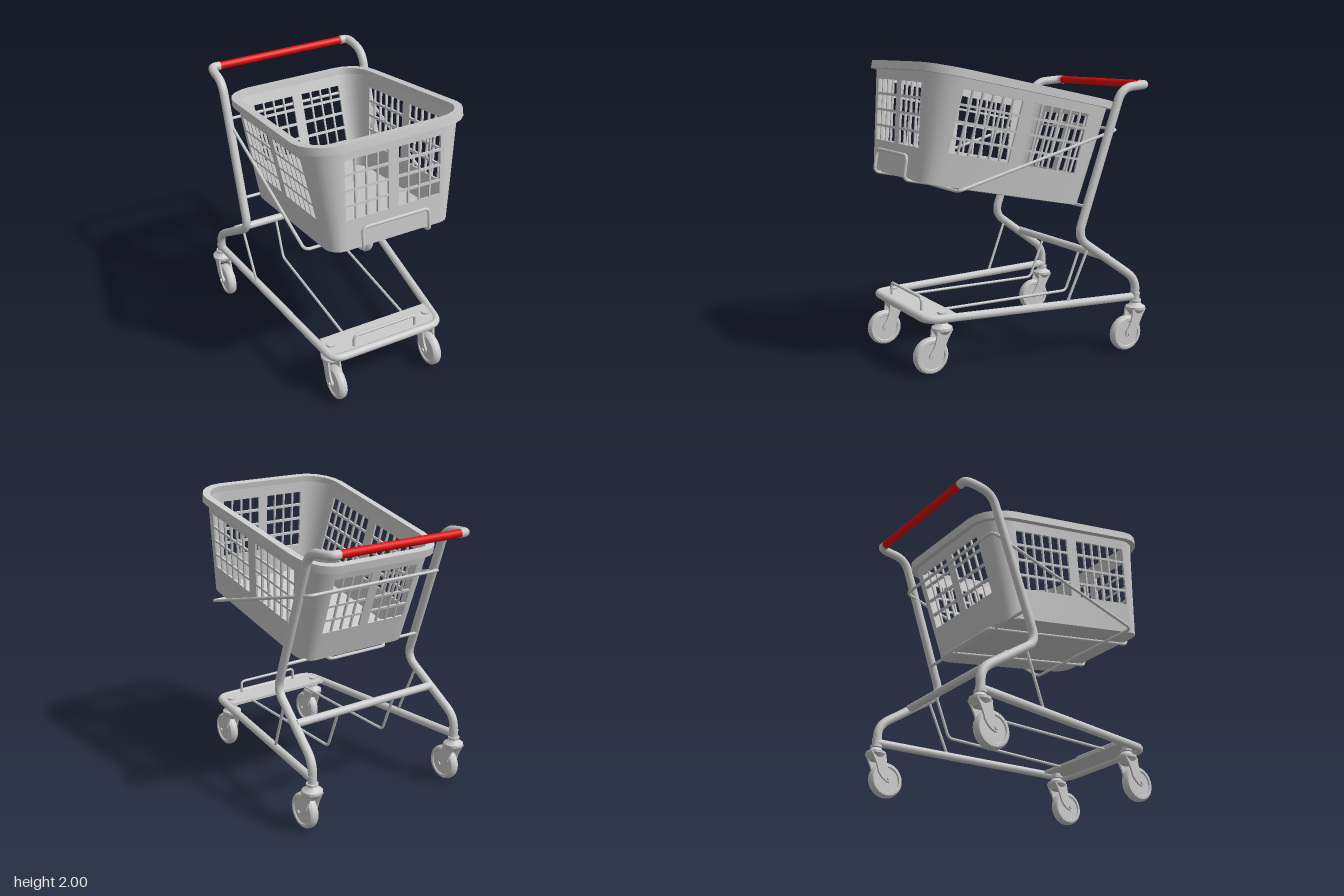
import * as THREE from 'three';
import { toCreasedNormals } from 'three/addons/utils/BufferGeometryUtils.js';

const grey = new THREE.MeshStandardMaterial({ color: 0xcccccc, side: THREE.DoubleSide });
const red = new THREE.MeshStandardMaterial({ color: 0xe00808 });
const V = (x, y, z) => new THREE.Vector3(x, y, z);

function part(parent, name, geometry, material = grey) {
  const mesh = new THREE.Mesh(geometry, material);
  mesh.name = name;
  parent.add(mesh);
  return mesh;
}

// Tube through corner points, each corner rounded by r
function bentTube(points, radius, r = 0.06, closed = false, segments = 100) {
  const path = new THREE.CurvePath(), n = points.length;
  const toward = (a, b) => a.clone().add(b.clone().sub(a).setLength(Math.min(r, a.distanceTo(b) * 0.45)));
  const first = closed ? toward(points[0], points[1]) : points[0];
  let at = first;
  for (let i = 1; i < (closed ? n + 1 : n - 1); i++) {
    const p = points[i % n];
    const a = toward(p, points[i - 1]), b = toward(p, points[(i + 1) % n]);
    path.add(new THREE.LineCurve3(at, a));
    path.add(new THREE.QuadraticBezierCurve3(a, p, b));
    at = b;
  }
  if (!closed) path.add(new THREE.LineCurve3(at, points[n - 1]));
  return new THREE.TubeGeometry(path, segments, radius, 10, closed);
}

// Edges of a run of slots: [position, whether a slot starts here]
function slots(groups, count, gap) {
  return groups.flatMap(([a, b]) => {
    const pitch = (b - a + gap) / count;
    return Array.from({ length: count }, (_, i) => [[a + i * pitch, true], [a + (i + 1) * pitch - gap, false]]).flat();
  });
}

// ---- Basket, in its own frame: x across, y up, z forward ----
const W = 0.335, BACK = -0.28, FRONT = 0.715, HEIGHT = 0.69;
const topHalfWidth = z => 0.5 + 0.035 * (z - BACK) / (FRONT - BACK);

function basketColumns() {
  const cols = [];
  const sideSlots = slots([[-0.27, 0.175], [0.26, 0.705]], 6, 0.013);
  const sideSlotsBack = slots([[-0.705, -0.26], [-0.175, 0.27]], 6, 0.013);
  const endSlots = slots([[-0.33, -0.035], [0.035, 0.33]], 4, 0.011);
  const side = (s, z, hole) => cols.push({ b: [s * 0.43, z], t: [s * topHalfWidth(z), z], n: [s, 0], hole });
  const end = (s, x, hole) => cols.push({
    b: [x, s > 0 ? 0.822 : -0.397], t: [x, s > 0 ? 0.913 : -0.493], n: [0, s], hole });
  const corner = q => {
    const sx = q === 0 || q === 3 ? 1 : -1, front = q < 2, z = front ? FRONT : BACK;
    const rb = [0.43 - W, front ? 0.107 : 0.117], rt = [topHalfWidth(z) - W, front ? 0.198 : 0.213];
    for (let k = 0; k <= 5; k++) {
      const a = (q + k / 5) * Math.PI / 2, c = Math.cos(a), s = Math.sin(a);
      cols.push({ b: [sx * W + rb[0] * c, z + rb[1] * s], t: [sx * W + rt[0] * c, z + rt[1] * s],
        n: [c, s], hole: false, corner: true });
    }
  };
  sideSlots.forEach(([p, h]) => side(1, p, h));
  corner(0);
  endSlots.forEach(([p, h]) => end(1, -p, h));
  corner(1);
  sideSlotsBack.forEach(([p, h]) => side(-1, -p, h));
  corner(2);
  endSlots.forEach(([p, h]) => end(-1, p, h));
  corner(3);
  return cols;
}

// Walls as inner and outer skins, with the slots left open and their reveals closed
function wallGeometry(cols) {
  const rows = [[0, false], ...slots([[0.21, 0.615]], 4, 0.016), [HEIGHT, false]];
  const pos = [];
  const pt = (c, u, inset) => {
    const t = u / HEIGHT;
    const at = k => c.b[k] + (c.t[k] - c.b[k]) * t - c.n[k] * inset;
    return [at(0), u, at(1)];
  };
  const quad = (a, b, c, d) => pos.push(...a, ...b, ...c, ...a, ...c, ...d);
  cols.forEach((c, i) => {
    const d = cols[(i + 1) % cols.length];
    for (let j = 0; j < rows.length - 1; j++) {
      const u = rows[j][0], v = rows[j + 1][0];
      const o = [pt(d, u, 0), pt(c, u, 0), pt(c, v, 0), pt(d, v, 0)];
      const n = [pt(d, u, 0.015), pt(c, u, 0.015), pt(c, v, 0.015), pt(d, v, 0.015)];
      if (c.hole && rows[j][1]) {
        for (let k = 0; k < 4; k++) quad(o[k], o[(k + 1) % 4], n[(k + 1) % 4], n[k]);
      } else {
        quad(...o);
        quad(n[3], n[2], n[1], n[0]);
      }
    }
  });
  const g = new THREE.BufferGeometry();
  g.setAttribute('position', new THREE.Float32BufferAttribute(pos, 3));
  return toCreasedNormals(g, 0.6);
}

function slab(outline, hole, y, depth) {
  const shape = new THREE.Shape(outline);
  if (hole) shape.holes.push(new THREE.Path(hole));
  const g = new THREE.ExtrudeGeometry(shape, { depth, bevelEnabled: false });
  return toCreasedNormals(g.rotateX(-Math.PI / 2).translate(0, y, 0), 0.6);
}

function makeBasket() {
  const basket = new THREE.Group();
  basket.name = 'basket';
  const cols = basketColumns(), corners = cols.filter(c => c.corner);
  const outline = (key, d) => corners.map(c => new THREE.Vector2(c[key][0] + c.n[0] * d, -c[key][1] - c.n[1] * d));
  part(basket, 'basketWalls', wallGeometry(cols));
  part(basket, 'basketFloor', slab(outline('b', 0), null, 0, 0.015));
  part(basket, 'basketRim', slab(outline('t', 0.037), outline('t', -0.014), 0.68, 0.052));
  basket.rotation.x = -0.199;
  basket.position.y = 1.09;
  return basket;
}

// ---- Swivel caster, its wheel ahead of the stem ----
function makeCaster(name, x, z) {
  const caster = new THREE.Group();
  caster.name = name;
  const lathe = pts => toCreasedNormals(new THREE.LatheGeometry(pts.map(p => new THREE.Vector2(...p)), 24), 0.6);
  part(caster, 'swivel', lathe([[0, 0.402], [0.03, 0.402], [0.03, 0.352], [0.04, 0.35], [0.04, 0.335], [0.034, 0.33],
    [0.046, 0.315], [0.068, 0.302], [0.068, 0.285], [0.052, 0.262], [0.04, 0.245], [0, 0.245]]));
  const trail = 0.083, axleY = 0.122;
  const wheel = lathe([[0, -0.024], [0.085, -0.024], [0.09, -0.032], [0.108, -0.031], [0.118, -0.02], [0.122, 0],
    [0.118, 0.02], [0.108, 0.031], [0.09, 0.032], [0.085, 0.024], [0, 0.024]]);
  part(caster, 'wheel', wheel.rotateZ(Math.PI / 2)).position.set(0, axleY, trail);
  part(caster, 'axle', new THREE.CylinderGeometry(0.013, 0.013, 0.118, 12).rotateZ(Math.PI / 2))
    .position.set(0, axleY, trail);
  // Curved fork arm, drawn in (z, y)
  const arm = new THREE.Shape();
  arm.moveTo(-0.058, 0.29);
  arm.lineTo(0.056, 0.29);
  arm.quadraticCurveTo(0.058, 0.2, 0.108, 0.145);
  arm.quadraticCurveTo(0.12, 0.112, 0.088, 0.098);
  arm.quadraticCurveTo(0.04, 0.105, 0.005, 0.16);
  arm.quadraticCurveTo(-0.01, 0.22, -0.058, 0.29);
  for (const s of [-1, 1]) {
    const g = new THREE.ExtrudeGeometry(arm, { depth: 0.014, bevelEnabled: false, curveSegments: 8 });
    g.translate(0, 0, -0.007).rotateY(-Math.PI / 2).translate(s * 0.042, 0, 0);
    part(caster, 'forkArm', toCreasedNormals(g, 0.6));
  }
  caster.position.set(x, 0, z);
  return caster;
}

export function createModel() {
  const cart = new THREE.Group();
  cart.name = 'shoppingCart';
  cart.add(makeBasket());
  const bar = (name, r, length, y, z, material) =>
    part(cart, name, new THREE.CylinderGeometry(r, r, length, 20).rotateZ(Math.PI / 2), material).position.set(0, y, z);

  for (const s of [-1, 1]) {
    // Upright from rear caster to handle
    part(cart, 'upright', bentTube([V(s * 0.597, 0.34, -0.727), V(s * 0.597, 0.497, -0.727), V(s * 0.552, 0.82, -0.268),
      V(s * 0.54, 1.81, -0.622), V(s * 0.54, 1.828, -0.83), V(s * 0.47, 1.828, -0.83)], 0.03, 0.09, false, 140));
    // Brace from upright to base rail
    part(cart, 'sideBrace', bentTube([V(s * 0.557, 0.755, -0.355), V(s * 0.535, 0.38, -0.2)], 0.01, 0, false, 1));
    // Lower rack wire, from cross bar down and forward to the plate
    part(cart, 'rackWire', bentTube([V(s * 0.235, 0.66, -0.505), V(s * 0.235, 0.375, -0.39), V(s * 0.235, 0.375, 0.6)],
      0.01, 0.03));
    cart.add(makeCaster('frontCaster', s * 0.37, 0.66));
    cart.add(makeCaster('rearCaster', s * 0.6, -0.73));
  }
  bar('handleGrip', 0.027, 0.95, 1.828, -0.83, red);
  bar('crossBar', 0.027, 1.13, 0.665, -0.505);
  bar('basketCrossWire', 0.011, 1.1, 1.02, -0.36);

  // Base frame
  part(cart, 'baseFrame', bentTube([V(0.595, 0.37, -0.735), V(0.41, 0.37, 0.782), V(-0.41, 0.37, 0.782),
    V(-0.595, 0.37, -0.735)], 0.028, 0.08, false, 140));
  part(cart, 'frontPlate', new THREE.BoxGeometry(0.82, 0.02, 0.2)).position.set(0, 0.38, 0.675);
  part(cart, 'frontStopWire', bentTube([V(-0.235, 0.38, 0.74), V(-0.235, 0.475, 0.74), V(0.235, 0.475, 0.74),
    V(0.235, 0.38, 0.74)], 0.01, 0.03));

  // Wire loop slung around the basket
  part(cart, 'basketSling', bentTube([V(0.525, 1.2, 0.615), V(-0.525, 1.2, 0.615), V(-0.525, 1.53, -0.6),
    V(0.525, 1.53, -0.6)], 0.011, 0.04, true, 200));
  // Wire cradle under the basket, hooked up over its front
  part(cart, 'basketCradle', bentTube([V(0.235, 1.408, 0.825), V(0.235, 1.255, 0.85), V(0.235, 1.004, -0.405),
    V(-0.235, 1.004, -0.405), V(-0.235, 1.255, 0.85), V(-0.235, 1.408, 0.825)], 0.011, 0.035, true, 200));
  return cart;
}
